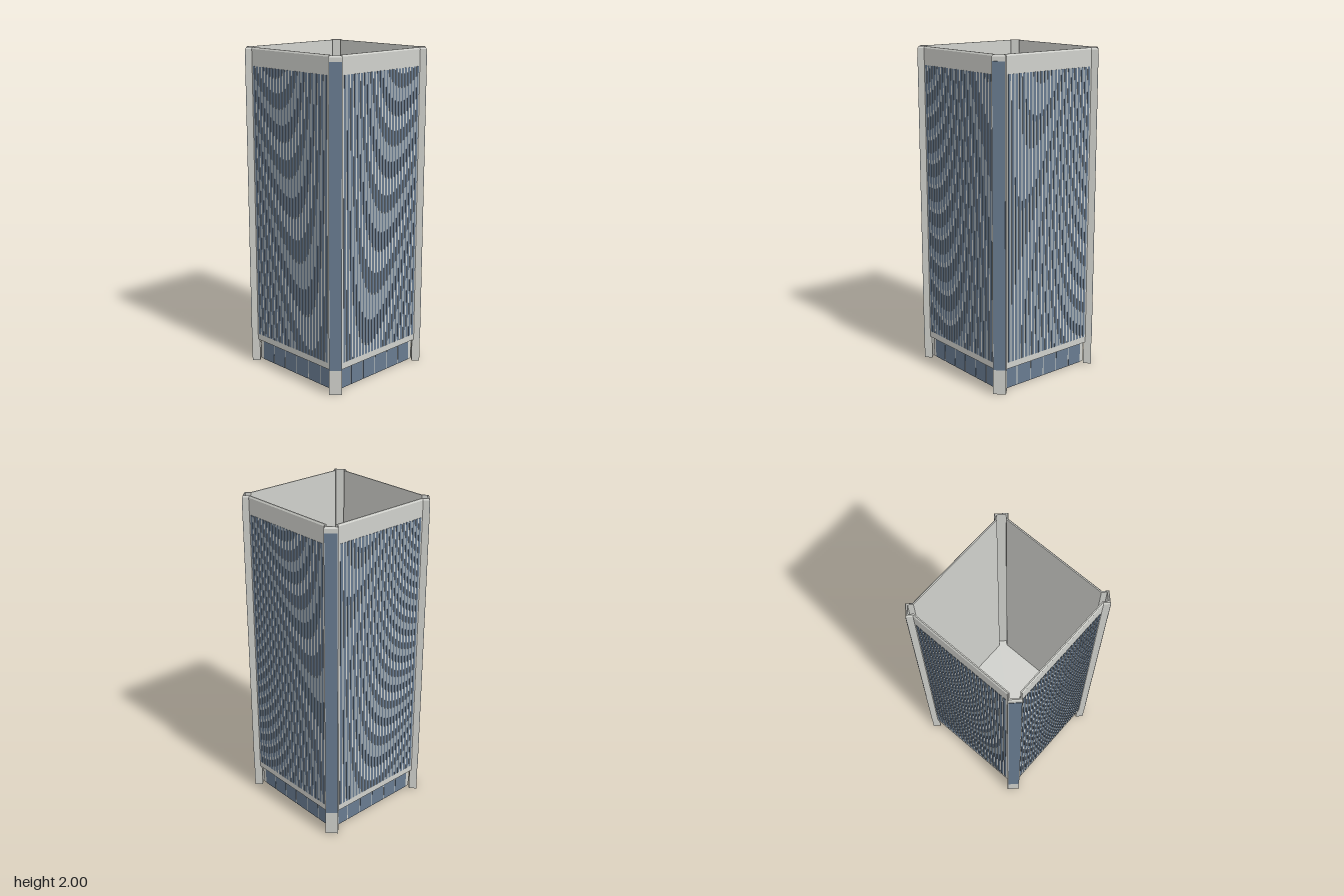
import * as THREE from 'three';
import { mergeGeometries } from 'three/addons/utils/BufferGeometryUtils.js';

const WALL = 0.38, PIER = 0.039, FACE = WALL * Math.SQRT2; // wall half width, pier half width, pier face distance
const BASE = 0.145, TOP = 2, FLOOR = 0.15, LOBBY = 0.342;

const stone = new THREE.MeshStandardMaterial({ color: 0xcfd0cb });
stone.name = 'pale stone';
const glass = new THREE.MeshStandardMaterial({ color: 0x687b90 });
glass.name = 'blue glass';

// square plan with diagonal corner piers, inset evenly
function outline(inset) {
  const w = WALL - inset, p = PIER - inset, d = FACE - inset;
  const near = (d - p) / Math.SQRT2, far = (d + p) / Math.SQRT2, foot = w - Math.SQRT2 * p;
  const corner = [[w, foot], [far, near], [near, far], [foot, w]];
  const points = [];
  for (let k = 0; k < 4; k++) {
    for (const [x, z] of corner) {
      points.push([[x, z], [-z, x], [-x, -z], [z, -x]][k]);
    }
  }
  return points;
}

// joins plan rings given as [inset, height]
function loft(rings) {
  const pos = [];
  const loops = rings.map(([inset, y]) => outline(inset).map(([x, z]) => [x, y, z]));
  for (let j = 0; j < loops.length - 1; j++) {
    const n = loops[j].length;
    for (let i = 0; i < n; i++) {
      const k = (i + 1) % n;
      const a = loops[j][i], b = loops[j][k], c = loops[j + 1][k], d = loops[j + 1][i];
      pos.push(...a, ...d, ...c, ...a, ...c, ...b);
    }
  }
  const g = new THREE.BufferGeometry();
  g.setAttribute('position', new THREE.Float32BufferAttribute(pos, 3));
  g.computeVertexNormals();
  return g;
}

function box(w, h, d, x, y, z) {
  return new THREE.BoxGeometry(w, h, d).translate(x, y, z);
}

function add(parent, name, geometry, material) {
  const mesh = new THREE.Mesh(geometry, material);
  mesh.name = name;
  parent.add(mesh);
  return mesh;
}

// flat plate filling the plan
function plate(inset, y, up) {
  const shape = new THREE.Shape(outline(inset).map(([x, z]) => new THREE.Vector2(x, z)));
  return new THREE.ShapeGeometry(shape).rotateX(up ? -Math.PI / 2 : Math.PI / 2).translate(0, y, 0);
}

export function createModel() {
  const model = new THREE.Group();
  model.name = 'officeTower';

  // hollow shell with a small chamfer round the rim
  add(model, 'towerShell', loft([
    [0, BASE], [0, TOP - 0.01], [0.006, TOP], [0.013, TOP], [0.013, FLOOR],
  ]), stone);
  add(model, 'innerFloor', plate(0.013, FLOOR, true), stone);
  add(model, 'soffit', plate(0, BASE, false), stone);

  // window strips between the bands
  const strips = [], count = 24, pitch = 0.636 / count;
  for (let i = 0; i < count; i++) {
    strips.push(box(0.0175, 1.705, 0.004, (i - (count - 1) / 2) * pitch, 1.0375, WALL));
  }
  const stripGeometry = mergeGeometries(strips);

  // lobby panes at street level
  const panes = [];
  for (let i = 0; i < 6; i++) {
    panes.push(box(0.099, 0.125, 0.004, (i - 2.5) * 0.106, 0.0625, LOBBY));
  }
  const paneGeometry = mergeGeometries(panes);

  for (let k = 0; k < 4; k++) {
    const side = new THREE.Group();
    side.name = ['front', 'left', 'back', 'right'][k] + 'Side';
    side.rotation.y = k * Math.PI / 2;
    add(side, 'windowStrips', stripGeometry, glass);
    add(side, 'lobbyWall', box(LOBBY * 2, BASE, 0.008, 0, BASE / 2, LOBBY - 0.004), stone);
    add(side, 'lobbyPanes', paneGeometry, glass);

    // corner pier: leg and tall window
    const pier = new THREE.Group();
    pier.name = 'cornerPier';
    pier.rotation.y = Math.PI / 4;
    add(pier, 'pierLeg', box(PIER * 2, BASE, 0.05, 0, BASE / 2, FACE - 0.025), stone);
    add(pier, 'pierWindow', box(0.071, 1.81, 0.004, 0, 1.06, FACE), glass);
    side.add(pier);
    model.add(side);
  }
  return model;
}
